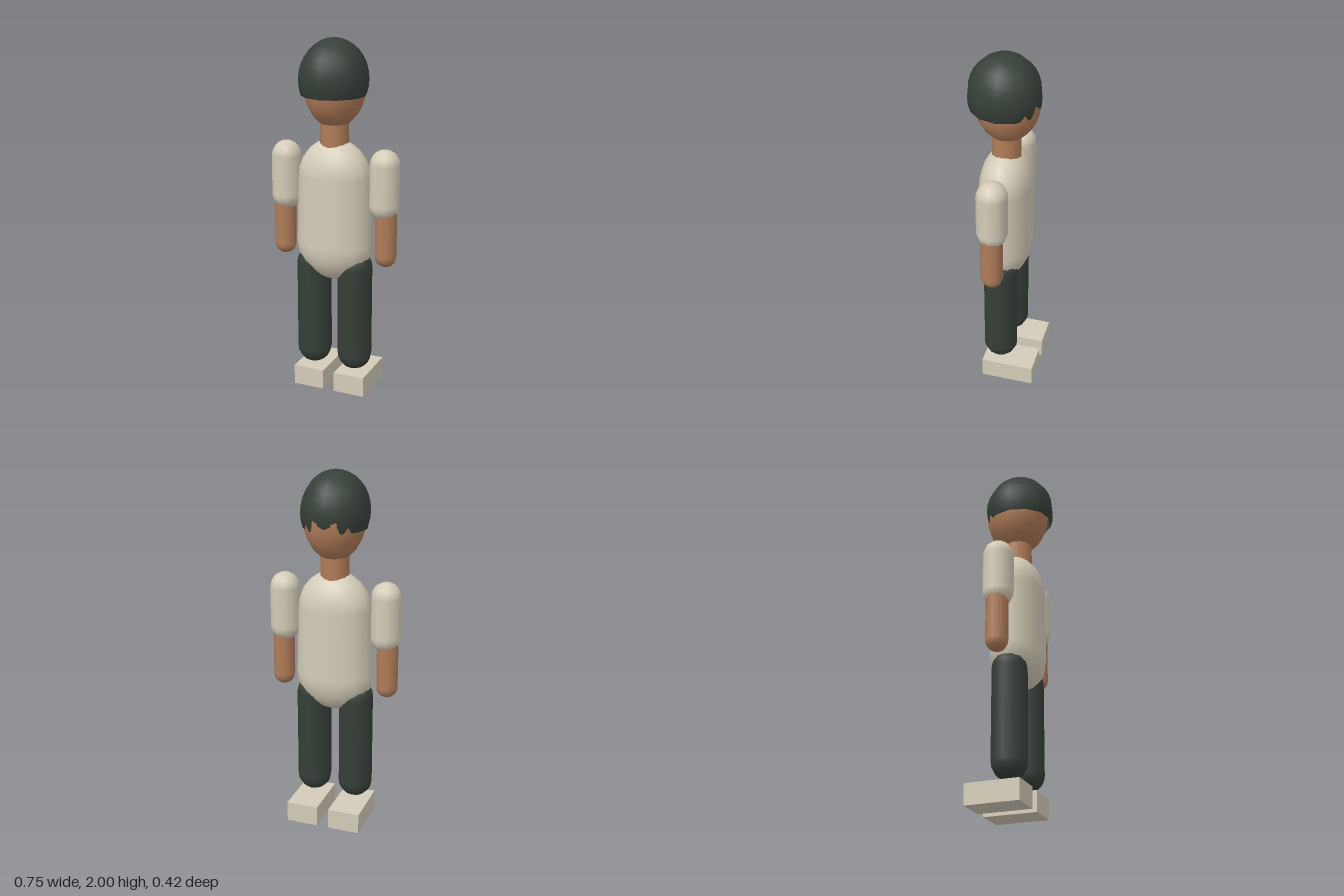
import * as THREE from 'three';

const mat = (name, color) => {
  const m = new THREE.MeshStandardMaterial({ color });
  m.name = name;
  return m;
};

export function createModel() {
  const group = new THREE.Group();
  const cream = mat('cream cloth', 0xd4ccb8);
  const dark = mat('dark green', 0x363f38);
  const skin = mat('skin', 0xb07c58);

  const add = (name, geometry, material, x, y, z) => {
    const mesh = new THREE.Mesh(geometry, material);
    mesh.name = name;
    mesh.position.set(x, y, z);
    group.add(mesh);
    return mesh;
  };

  // Capsule standing between two heights
  const capsule = (name, material, r, bottom, top, x, z, sides) =>
    add(name, new THREE.CapsuleGeometry(r, top - bottom - 2 * r, 5, sides), material, x, (top + bottom) / 2, z);

  // Head, neck and a cap of hair set slightly off the face
  add('head', new THREE.SphereGeometry(1, 16, 12), skin, 0, 1.75, -0.003).scale.set(0.168, 0.23, 0.178);
  add('neck', new THREE.CylinderGeometry(0.078, 0.08, 0.18, 12), skin, 0, 1.47, 0);
  const hairMaterial = dark.clone();
  hairMaterial.name = 'hair dark green';
  hairMaterial.side = THREE.DoubleSide;
  add('hair', new THREE.SphereGeometry(1, 12, 10, 0, Math.PI * 2, 0, Math.PI * 0.62), hairMaterial, 0, 1.78, 0.011)
    .scale.set(0.188, 0.22, 0.197);

  // Torso: flattened capsule, a little wider at the hips
  const torso = new THREE.CapsuleGeometry(0.21, 0.38, 6, 16);
  const p = torso.attributes.position;
  for (let i = 0; i < p.count; i++) {
    const t = THREE.MathUtils.clamp((p.getY(i) + 0.19) / 0.38, 0, 1);
    p.setX(i, p.getX(i) * THREE.MathUtils.lerp(1.045, 0.985, t));
    p.setZ(i, p.getZ(i) * 0.685);
  }
  // Normals of the flattened shape
  const n = torso.attributes.normal;
  const v = new THREE.Vector3();
  for (let i = 0; i < n.count; i++) {
    v.fromBufferAttribute(n, i);
    v.z /= 0.685;
    v.normalize();
    n.setXYZ(i, v.x, v.y, v.z);
  }
  add('torso', torso, cream, 0, 1.06, 0);

  // Limbs and shoes on both sides
  for (const [side, s] of [['left', 1], ['right', -1]]) {
    capsule(side + 'Sleeve', cream, 0.084, 1.035, 1.425, s * 0.291, -0.002, 10);
    capsule(side + 'Forearm', skin, 0.061, 0.77, 1.18, s * 0.303, -0.002, 10);
    capsule(side + 'Leg', dark, 0.097, 0.13, 0.84, s * 0.124, 0, 12);
    add(side + 'Shoe', new THREE.BoxGeometry(0.181, 0.115, 0.3), cream, s * 0.124, 0.0575, -0.06);
  }
  return group;
}
